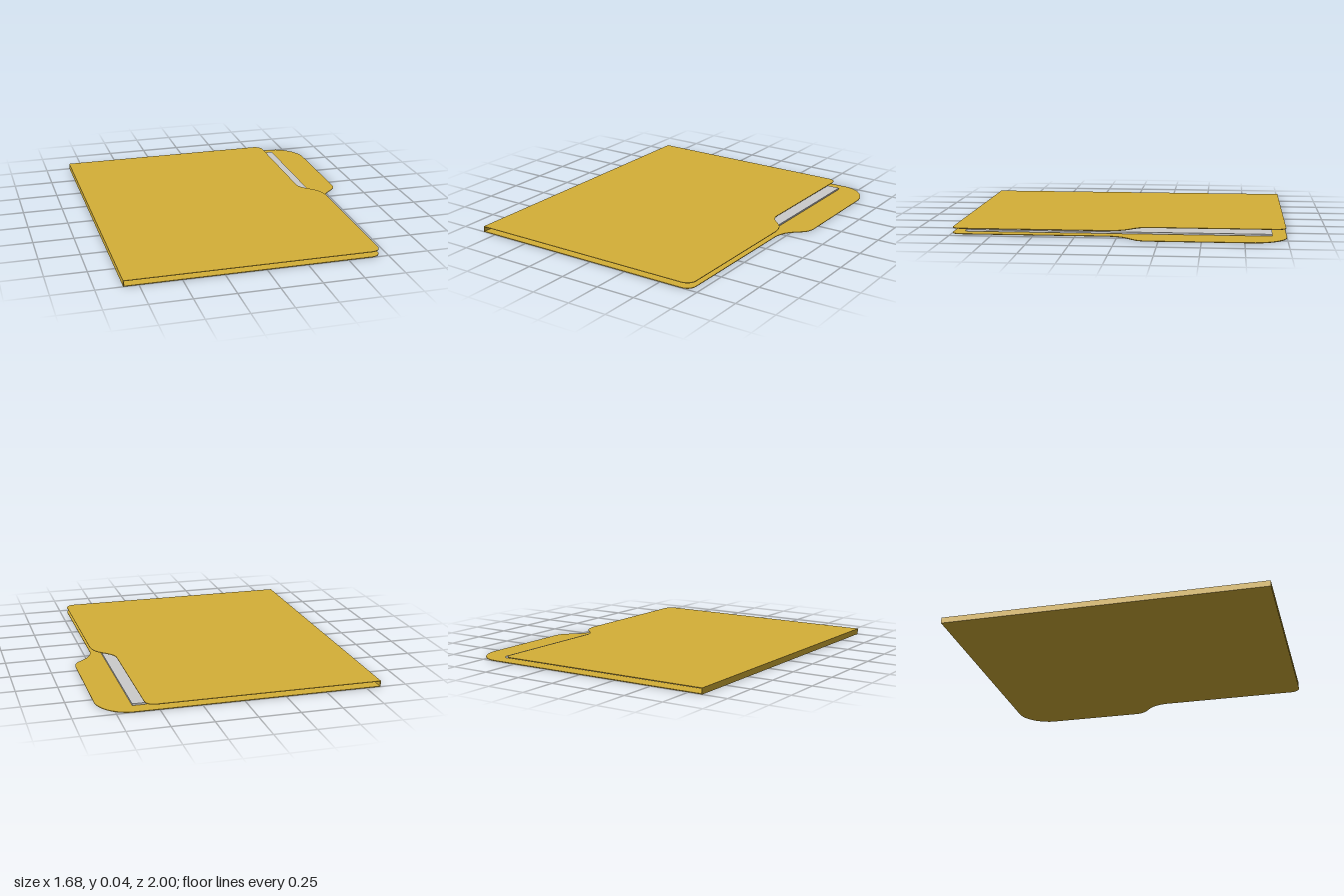
import * as THREE from 'three';

const SHEET = 0.004, HEIGHT = 0.037, LEFT = -0.84, RIGHT = 0.705;

// Extrude a plan outline (drawn with shape y = -z) upward from the given height
function slab(name, shape, y, thickness, material) {
  const geometry = new THREE.ExtrudeGeometry(shape, { depth: thickness, bevelEnabled: false, curveSegments: 12 });
  geometry.rotateX(-Math.PI / 2);
  const mesh = new THREE.Mesh(geometry, material);
  mesh.name = name;
  mesh.position.y = y;
  return mesh;
}

// Spine side and rounded front corner, shared by both covers
function startCover() {
  const s = new THREE.Shape();
  s.moveTo(LEFT, -1);
  s.lineTo(RIGHT - 0.06, -1);
  s.bezierCurveTo(RIGHT - 0.025, -1, RIGHT, -0.975, RIGHT, -0.94);
  s.lineTo(RIGHT, -0.06);
  return s;
}

export function createModel() {
  const group = new THREE.Group();
  group.name = 'folder';
  const card = new THREE.MeshStandardMaterial({ color: 0xd4af37 });
  const grey = new THREE.MeshStandardMaterial({ color: 0xcccccc });

  // Lower cover with the protruding index tab
  const lower = startCover();
  lower.bezierCurveTo(0.715, 0.04, 0.76, 0.06, 0.8, 0.1);
  lower.bezierCurveTo(0.825, 0.12, 0.84, 0.15, 0.84, 0.19);
  lower.lineTo(0.84, 0.81);
  lower.bezierCurveTo(0.83, 0.91, 0.75, 1, 0.65, 1);
  lower.lineTo(LEFT, 1);
  lower.closePath();
  group.add(slab('lowerCover', lower, 0, SHEET, card));

  // Upper cover cut back beside the tab
  const upper = startCover();
  upper.bezierCurveTo(0.7, 0.02, 0.67, 0.05, 0.635, 0.08);
  upper.bezierCurveTo(0.6, 0.11, 0.578, 0.14, 0.578, 0.18);
  upper.lineTo(0.578, 0.94);
  upper.bezierCurveTo(0.578, 0.975, 0.555, 1, 0.52, 1);
  upper.lineTo(LEFT, 1);
  upper.closePath();
  group.add(slab('upperCover', upper, HEIGHT - SHEET, SHEET, card));

  // Folded spine joining the covers
  const spine = new THREE.Mesh(new THREE.BoxGeometry(SHEET, HEIGHT - 2 * SHEET, 2), card);
  spine.name = 'spine';
  spine.position.set(LEFT + SHEET / 2, HEIGHT / 2, 0);
  group.add(spine);

  // Stack of paper inside
  const paper = new THREE.Mesh(new THREE.BoxGeometry(1.41, 0.011, 1.84), grey);
  paper.name = 'paperStack';
  paper.position.set(-0.063, 0.0125, 0.005);
  group.add(paper);

  return group;
}
